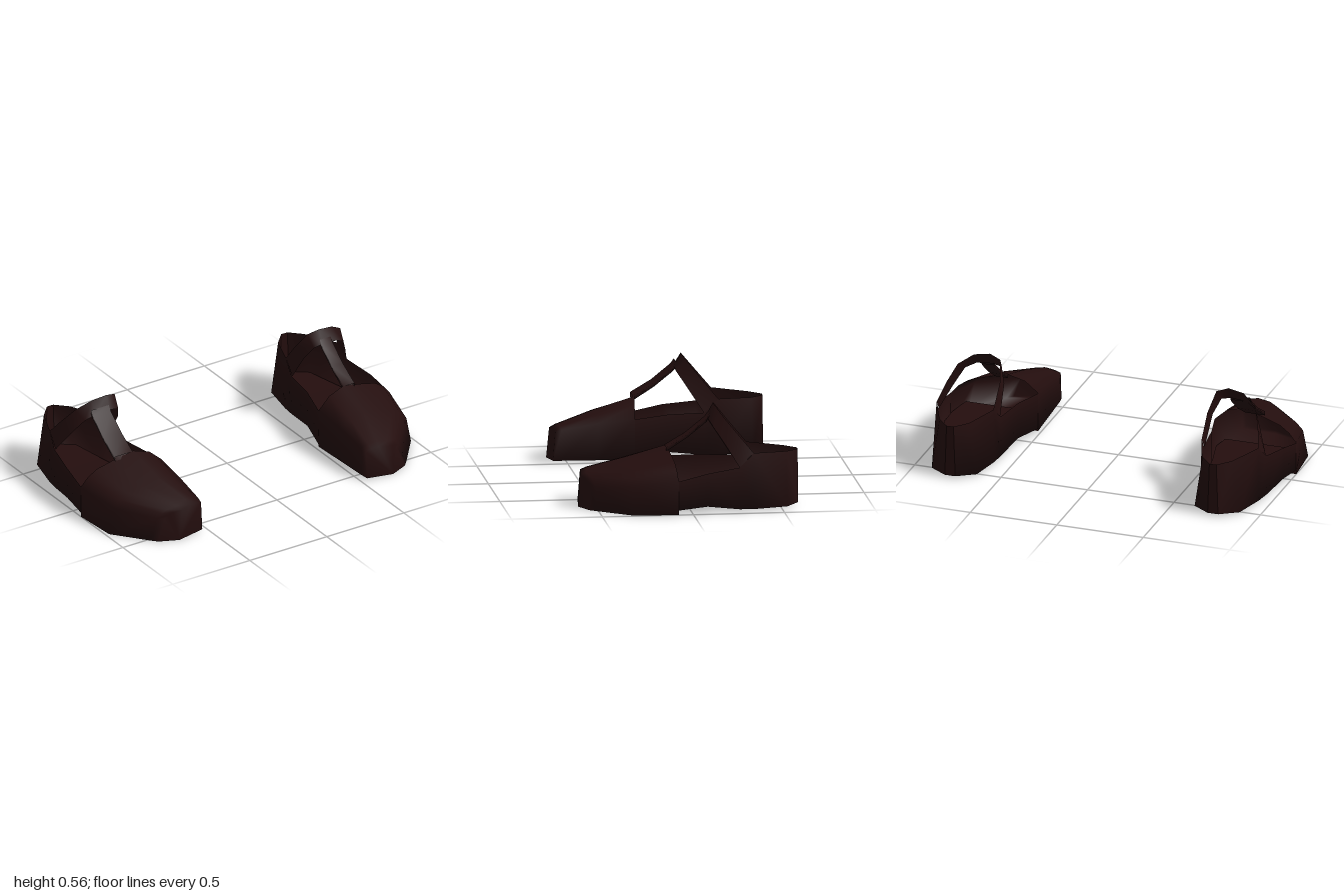
import * as THREE from 'three';

const lerp = THREE.MathUtils.lerp;

// Skin a list of equal-length point rows; optionally close each row and cap the last one
function loft(rows, { closed = false, cap = false } = {}) {
  const n = rows[0].length;
  const idx = [];
  for (let r = 0; r < rows.length - 1; r++) {
    for (let i = 0; i < (closed ? n : n - 1); i++) {
      const a = r * n + i, b = r * n + (i + 1) % n;
      idx.push(a, b, a + n, b, b + n, a + n);
    }
  }
  if (cap) {
    const start = (rows.length - 1) * n, hub = start + n - 1;
    for (let i = 0; i < n - 2; i++) idx.push(start + i, start + i + 1, hub);
  }
  const g = new THREE.BufferGeometry();
  g.setAttribute('position', new THREE.Float32BufferAttribute(rows.flat(2), 3));
  g.setIndex(idx);
  g.computeVertexNormals();
  return g;
}

// Toe cover cross-section: z at the inner, middle and outer side, width,
// side heights, top height, inward lean of the outer wall, forward reach of the sole
function vampRow([zIn, zMid, zOut, xIn, xOut, yIn, yOut, top, inset, reach]) {
  const arc = [[0, 0], [0.15, 0.68], [0.35, 1], [0.6, 0.8], [0.8, 0.6], [0.91, 0.35], [1, 0]];
  const z = (f) => (f < 0.6 ? lerp(zIn, zMid, f / 0.6) : lerp(zMid, zOut, (f - 0.6) / 0.4));
  const sole = (f, y) => [lerp(xIn, xOut, f), y, z(f) + reach];
  return [
    sole(0, 0.012),
    ...arc.map(([f, k]) => [lerp(xIn, xOut - inset, f), lerp(f < 0.5 ? yIn : yOut, top, k), z(f)]),
    sole(1, 0), sole(0.6, 0),
  ];
}

function createShoe(material, strapIn, strapOut) {
  const shoe = new THREE.Group();
  const add = (name, geometry) => {
    const m = new THREE.Mesh(geometry, material);
    m.name = name;
    shoe.add(m);
  };

  // Closed toe cover
  const vamp = [
    [0.13, 0.1, 0.08, 0.51, 1.0, 0.235, 0.185, 0.33, 0, 0],
    [0.33, 0.33, 0.33, 0.52, 0.98, 0.215, 0.15, 0.267, 0.03, 0],
    [0.53, 0.55, 0.51, 0.53, 0.83, 0.182, 0.12, 0.203, 0.045, 0.005],
    [0.565, 0.582, 0.535, 0.535, 0.8, 0.172, 0.12, 0.186, 0.045, 0.013],
  ];
  add('toeCover', loft(vamp.map(vampRow), { closed: true, cap: true }));

  // Open rear body: zIn, zOut, xIn, xOut, bottom, inner rim, outer rim, inward lean of the rim
  const body = [
    [0.13, 0.08, 0.51, 1.0, 0.025, 0.235, 0.185, 0],
    [-0.06, -0.08, 0.56, 0.985, 0.04, 0.248, 0.222, 0],
    [-0.26, -0.26, 0.587, 0.95, 0.014, 0.248, 0.245, 0],
    [-0.34, -0.34, 0.597, 0.935, 0.01, 0.32, 0.32, 0.005],
    [-0.53, -0.53, 0.63, 0.89, 0.012, 0.31, 0.31, 0.045],
    [-0.6, -0.6, 0.73, 0.79, 0.014, 0.308, 0.308, 0.01],
  ];
  const bodyRows = body.map(([zi, zo, xi, xo, b, yi, yo, lean]) => [
    [xi + lean, yi, zi], [xi, b, zi], [xo, b, zo], [xo - lean, yo, zo],
  ]);
  add('heelAndSides', loft(bodyRows));
  // Heel back panel
  const [backA, backB, backC, backD] = bodyRows[bodyRows.length - 1];
  add('heelBack', loft([[backB, backC], [backA, backD]]));
  // Inner floor, running forward under the toe cover
  const floor = body.map(([zi, zo, xi, xo, b]) => [
    [xi + 0.008, b + 0.05, zi], [xo - 0.008, b + 0.05, zo],
  ]);
  add('insole', loft([[[0.53, 0.07, 0.25], [0.97, 0.07, 0.25]], ...floor]));

  // Ankle strap arching over the opening
  const front = [
    [0.592, 0.245, -0.26], [0.603, 0.4, -0.16], [0.635, 0.475, -0.11], [0.69, 0.487, -0.108],
    [0.78, 0.48, -0.112], [0.84, 0.45, -0.13], [0.89, 0.36, -0.19], [0.945, 0.245, -0.26],
  ];
  const rear = [
    [0.602, 0.32, -0.34], [0.6, 0.44, -0.24], [0.625, 0.54, -0.162], [0.69, 0.56, -0.145],
    [0.78, 0.547, -0.155], [0.86, 0.495, -0.195], [0.9, 0.41, -0.265], [0.93, 0.32, -0.34],
  ];
  add('ankleStrap', loft([front, rear]));

  // Centre strap joining the toe cover to the ankle strap: z, lower y, upper y
  const centre = [[0.12, 0.305, 0.33], [0.005, 0.378, 0.398], [-0.1, 0.462, 0.483], [-0.12, 0.485, 0.51]];
  add('centreStrap', loft(centre.map(([z, lo, hi]) => [
    [strapIn, lo, z], [strapIn, hi, z], [strapOut, hi, z], [strapOut, lo, z],
  ]), { closed: true }));

  return shoe;
}

export function createModel() {
  const group = new THREE.Group();
  const leather = new THREE.MeshStandardMaterial({ color: 0x240e0e, side: THREE.DoubleSide });
  leather.name = 'darkBrownLeather';

  const left = createShoe(leather, 0.68, 0.75);
  left.name = 'leftShoe';
  const right = createShoe(leather, 0.69, 0.805);
  right.name = 'rightShoe';
  right.scale.x = -1;
  group.add(left, right);
  return group;
}
